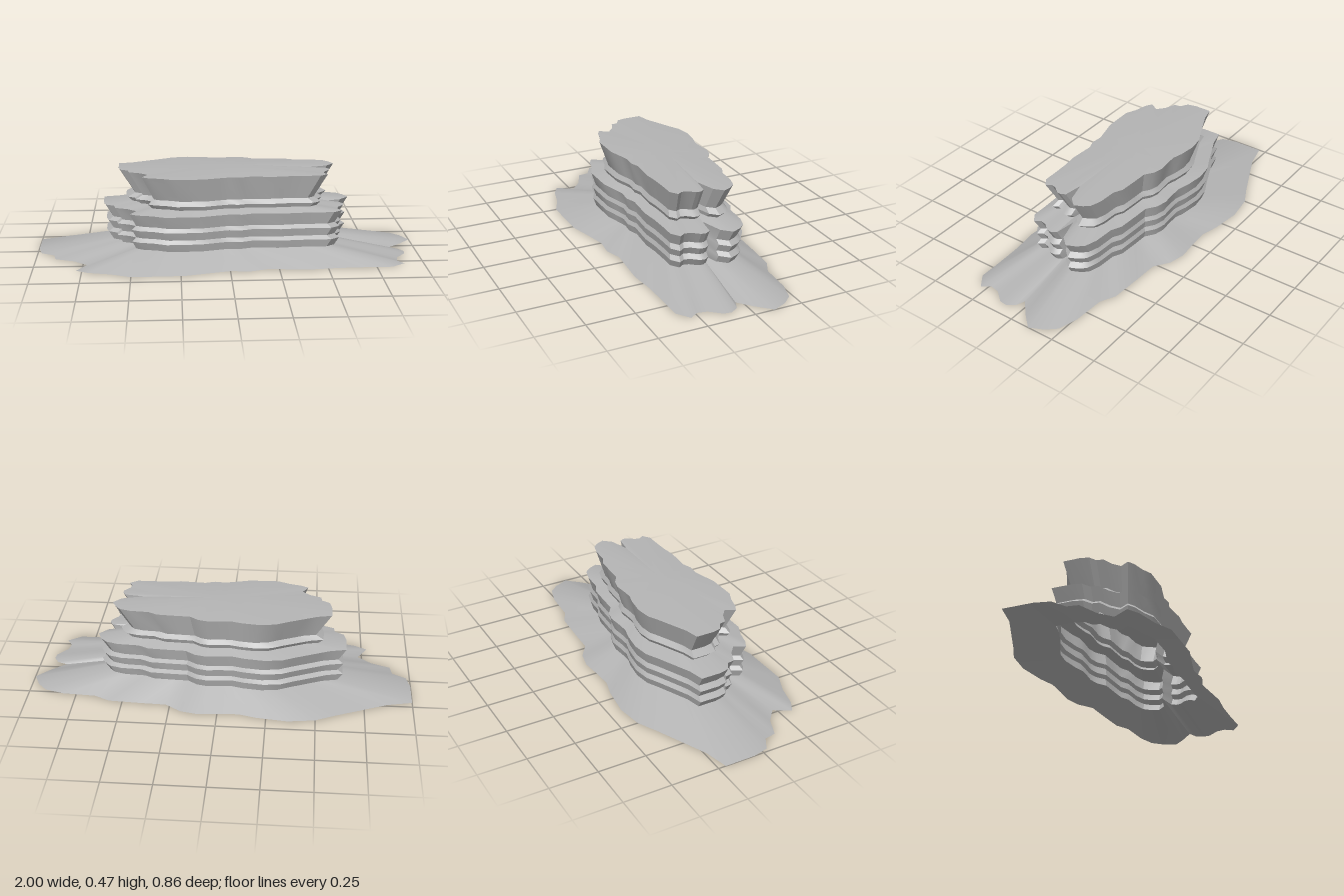
import * as THREE from 'three';
import { toCreasedNormals } from 'three/addons/utils/BufferGeometryUtils.js';

// Ragged ground outline as x, z pairs, clockwise from above
const OUTLINE = [
  [-1, -0.21], [-0.87, -0.24], [-0.78, -0.28], [-0.6, -0.36], [-0.5, -0.41], [-0.36, -0.43],
  [-0.2, -0.41], [-0.11, -0.385], [0, -0.39], [0.1, -0.4], [0.19, -0.38], [0.27, -0.325],
  [0.4, -0.32], [0.57, -0.31], [0.65, -0.27], [0.82, -0.26], [0.92, -0.23], [0.965, -0.18],
  [1, -0.105], [0.93, -0.03], [0.86, 0.03], [0.91, 0.05], [0.935, 0.09], [0.93, 0.13],
  [0.88, 0.19], [0.87, 0.24], [0.9, 0.285], [0.83, 0.335], [0.7, 0.335], [0.55, 0.34],
  [0.42, 0.355], [0.19, 0.34], [0.1, 0.37], [0, 0.36], [-0.1, 0.385], [-0.23, 0.42],
  [-0.5, 0.425], [-0.6, 0.38], [-0.72, 0.35], [-0.78, 0.315], [-0.73, 0.23], [-0.8, 0.17],
  [-0.9, 0.13], [-0.91, 0.07], [-0.98, 0.03], [-1, -0.05],
];
const NOTCH = 20; // the cleft cuts deeper into the cliffs than into the skirt

function ring([y, scale]) {
  return OUTLINE.map(([x, z], i) => {
    const s = scale * (i === NOTCH && y > 0 ? 0.86 : 1);
    return [x * s, y, z * s];
  });
}

// Joins scaled copies of the outline; each level is [height, scale]
function strata(name, levels, material) {
  const n = OUTLINE.length;
  const index = [];
  for (let k = 0; k < levels.length - 1; k++) {
    for (let i = 0; i < n; i++) {
      const j = (i + 1) % n;
      const a = k * n + i, b = k * n + j, c = a + n, d = b + n;
      index.push(a, c, d, a, d, b);
    }
  }
  const geometry = new THREE.BufferGeometry();
  geometry.setAttribute('position', new THREE.Float32BufferAttribute(levels.flatMap(ring).flat(), 3));
  geometry.setIndex(index);
  const mesh = new THREE.Mesh(toCreasedNormals(geometry, 0.5), material);
  mesh.name = name;
  return mesh;
}

export function createModel() {
  const rock = new THREE.MeshStandardMaterial({ color: 0xb4b4b4, side: THREE.DoubleSide });
  rock.name = 'grey rock';
  const mesa = new THREE.Group();
  mesa.name = 'mesa';

  mesa.add(
    // Sloping rubble around the foot, open underneath
    strata('skirt', [[0, 1], [0.072, 0.61]], rock),
    // Banded lower wall
    strata('lowerCliff', [[0.072, 0.61], [0.113, 0.637], [0.133, 0.61], [0.175, 0.637],
      [0.195, 0.61], [0.26, 0.65]], rock),
    // Step back to the upper wall
    strata('ledge', [[0.26, 0.65], [0.278, 0.505], [0.3, 0.53], [0.323, 0.49]], rock),
    // Overhanging upper wall
    strata('upperCliff', [[0.323, 0.49], [0.447, 0.567]], rock),
    // Gently peaked summit
    strata('summit', [[0.447, 0.567], [0.465, 0.0001]], rock),
  );
  return mesa;
}
